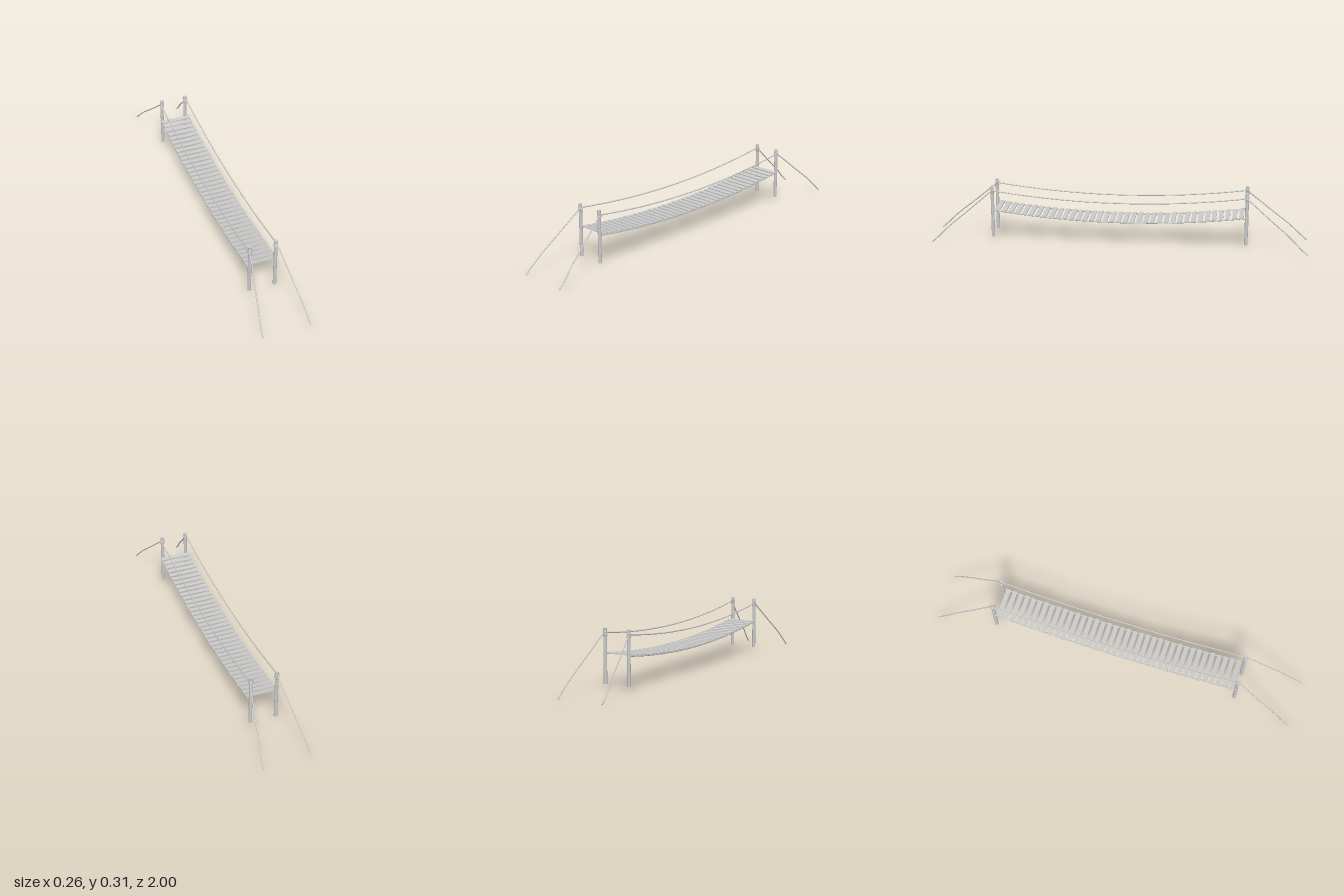
import * as THREE from 'three';

const POST_Z = 0.675;
const sag = (low, high) => (z) => low + (high - low) * (z / POST_Z) ** 2;
const railY = sag(0.236, 0.284);
const deckY = sag(0.131, 0.178);

export function createModel() {
  const group = new THREE.Group();
  const grey = new THREE.MeshStandardMaterial({ color: 0xcccccc });

  const add = (name, geometry, x = 0, y = 0, z = 0) => {
    const mesh = new THREE.Mesh(geometry, grey);
    mesh.name = name;
    mesh.position.set(x, y, z);
    group.add(mesh);
    return mesh;
  };

  // Round rope through a few points, with closed ends
  const rope = (name, points, radius, segments) => {
    const path = new THREE.CatmullRomCurve3(points.map((p) => new THREE.Vector3(...p)));
    add(name, new THREE.TubeGeometry(path, segments, radius, 8), 0, 0, 0);
    for (const t of [0, 1]) {
      const cap = add(name + 'End', new THREE.CircleGeometry(radius, 8));
      cap.position.copy(path.getPointAt(t));
      const out = path.getTangentAt(t).multiplyScalar(t ? 1 : -1);
      cap.lookAt(cap.position.clone().add(out));
    }
  };

  // Sagging line between the posts
  const span = (x, heightAt, end) =>
    Array.from({ length: 13 }, (_, i) => {
      const z = -end + (2 * end * i) / 12;
      return [x, heightAt(z), z];
    });

  for (const side of [-1, 1]) {
    const postX = side < 0 ? -0.071 : 0.066;

    // Handrail and deck ropes
    rope('handrailRope', span(postX + side * 0.007, railY, POST_Z), 0.0035, 48);
    rope('deckRope', span(side * 0.079, deckY, 0.672), 0.0035, 48);

    for (const end of [-1, 1]) {
      const z = end * POST_Z;

      // Post with rope wound round it
      add('post', new THREE.CylinderGeometry(0.009, 0.009, 0.28, 12), postX, 0.167, z);
      for (let i = 0; i < 4; i++) {
        const coil = add('ropeCoil', new THREE.TorusGeometry(0.0085, 0.0032, 6, 14), postX, 0.271 + i * 0.006, z);
        coil.rotation.x = Math.PI / 2;
      }

      // Anchor rope running down to the ground
      rope('anchorRope', [
        [postX + side * 0.005, 0.283, z],
        [side * 0.077, 0.263, end * 0.7],
        [side * 0.095, 0.178, end * 0.8],
        [side * 0.112, 0.095, end * 0.9],
        [side * 0.124, 0.03, end * 0.967],
        [side * 0.125, 0.002, end * 0.998],
      ], 0.0033, 24);
    }
  }

  // Planks following the sag of the deck
  const count = 37;
  for (let i = 0; i < count; i++) {
    const z = -0.648 + (1.296 * i) / (count - 1);
    const slope = (deckY(z + 0.01) - deckY(z - 0.01)) / 0.02;
    const shift = 0.002 * Math.sin(i * 2.4);
    const plank = add('plank', new THREE.BoxGeometry(0.166, 0.006, 0.024), shift, deckY(z) + 0.004, z);
    plank.rotation.x = -Math.atan(slope);
  }

  return group;
}
